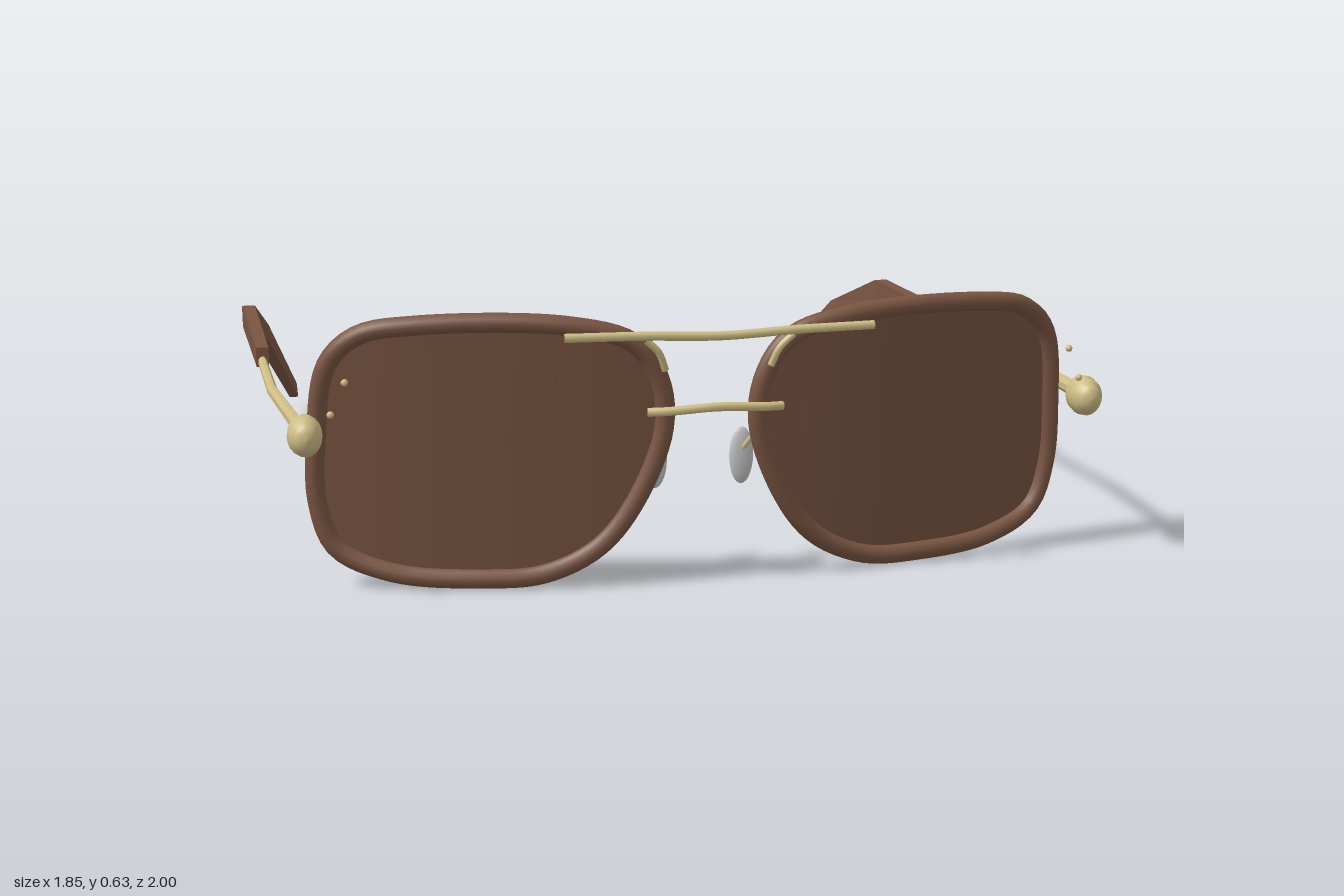
import * as THREE from 'three';

const mat = (name, color, extra = {}) => {
  const m = new THREE.MeshStandardMaterial({ color, ...extra });
  m.name = name;
  return m;
};
const V = (x, y, z) => new THREE.Vector3(x, y, z);

// Front outline of one rim (centre of the tube)
const OUTLINE = [
  [0.085, 0.37], [0.1, 0.49], [0.16, 0.575], [0.31, 0.62], [0.655, 0.623], [0.78, 0.597],
  [0.847, 0.525], [0.872, 0.34], [0.87, 0.19], [0.83, 0.08], [0.705, 0.022], [0.505, 0.008],
  [0.36, 0.018], [0.235, 0.08], [0.15, 0.19],
].map(([x, y]) => [0.48 + (x - 0.48) * 0.947, 0.315 + (y - 0.315) * 0.935]);

// Wrapped and tilted surface that the rim and lens follow
const lensZ = (x, y) => 0.907 - 0.26 * (x - 0.1) ** 2 + 0.075 * (y - 0.31);

const rimCurve = (s) => new THREE.CatmullRomCurve3(
  OUTLINE.map(([x, y]) => V(s * x, y, lensZ(x, y))), true);

const tube = (points, radius, segments = 16) => new THREE.TubeGeometry(
  new THREE.CatmullRomCurve3(points.map((p) => V(...p))), segments, radius, 8);

// Disc of rings on the lens surface, reaching the rim centre line
function lensGeometry(s) {
  const edge = rimCurve(s).getPoints(64).slice(0, 64);
  const rings = 8, n = edge.length, pos = [], idx = [];
  for (let r = 0; r <= rings; r++) {
    for (const p of edge) {
      const x = 0.48 + (Math.abs(p.x) - 0.48) * r / rings;
      const y = 0.315 + (p.y - 0.315) * r / rings;
      pos.push(s * x, y, lensZ(x, y));
    }
  }
  for (let r = 0; r < rings; r++) {
    for (let i = 0; i < n; i++) {
      const a = r * n + i, b = r * n + (i + 1) % n;
      if (s > 0) idx.push(a, b, a + n, b, b + n, a + n);
      else idx.push(a, a + n, b, b, a + n, b + n);
    }
  }
  // The outline runs clockwise from the front, so flip to face +z
  for (let i = 0; i < idx.length; i += 3) [idx[i + 1], idx[i + 2]] = [idx[i + 2], idx[i + 1]];
  const g = new THREE.BufferGeometry();
  g.setAttribute('position', new THREE.Float32BufferAttribute(pos, 3));
  g.setIndex(idx);
  g.computeVertexNormals();
  if (g.attributes.normal.getZ(n * 4) < 0) {
    g.setIndex(idx.reverse());
    g.computeVertexNormals();
  }
  return g;
}

// Loft front to back; each section is [x, half width, top y, top z, bottom y, bottom z]
function loft(sections, sides, s) {
  const pos = [], idx = [];
  const k = sides === 4 ? Math.SQRT2 : 1;
  for (const [x, hx, ty, tz, by, bz] of sections) {
    for (let i = 0; i < sides; i++) {
      const a = (i + 0.5) / sides * Math.PI * 2;
      const u = Math.sin(a) * k / 2;
      pos.push(s * x + Math.cos(a) * k * hx, (ty + by) / 2 + u * (ty - by), (tz + bz) / 2 + u * (tz - bz));
    }
  }
  const last = (sections.length - 1) * sides;
  for (let r = 0; r < last; r += sides) {
    for (let i = 0; i < sides; i++) {
      const a = r + i, b = r + (i + 1) % sides;
      idx.push(a, a + sides, b, b, a + sides, b + sides);
    }
  }
  for (let i = 1; i < sides - 1; i++) idx.push(0, i, i + 1, last, last + i + 1, last + i);
  const g = new THREE.BufferGeometry();
  g.setAttribute('position', new THREE.Float32BufferAttribute(pos, 3));
  g.setIndex(idx);
  const flat = g.toNonIndexed();
  flat.computeVertexNormals();
  return flat;
}

// Ridged knob turned around the z axis
function knobGeometry() {
  const profile = [[0, -0.06], [0.022, -0.055], [0.03, -0.042], [0.027, -0.036], [0.038, -0.024], [0.033, -0.016],
    [0.041, -0.002], [0.035, 0.008], [0.038, 0.02], [0.029, 0.028], [0.027, 0.04], [0.014, 0.048], [0, 0.05]];
  const g = new THREE.LatheGeometry(profile.map(([r, y]) => new THREE.Vector2(r, y)), 20);
  return g.rotateX(Math.PI / 2).scale(0.93, 1.12, 1);
}

export function createModel() {
  const brown = mat('brownAcetate', 0x7a5542);
  const lensBrown = mat('brownLens', 0x775340, { side: THREE.DoubleSide });
  const gold = mat('goldMetal', 0xcfbe86);
  const grey = mat('padGrey', 0xc6c6c6);
  const model = new THREE.Group();
  model.name = 'sunglasses';
  const add = (parent, name, geometry, material, position) => {
    const mesh = new THREE.Mesh(geometry, material);
    mesh.name = name;
    if (position) mesh.position.set(...position);
    parent.add(mesh);
    return mesh;
  };

  for (const s of [1, -1]) {
    const side = new THREE.Group();
    side.name = s > 0 ? 'leftSide' : 'rightSide';
    model.add(side);

    // Rim and lens
    add(side, 'rim', new THREE.TubeGeometry(rimCurve(s), 96, 0.022, 12, true), brown);
    add(side, 'lens', lensGeometry(s), lensBrown);

    // Hinge knob and small rivets
    add(side, 'hingeKnob', knobGeometry(), gold, [s * 0.887, 0.38, 0.88]);
    for (const [x, y, z] of [[0.81, 0.51, 0.965], [0.84, 0.44, 0.955]]) {
      add(side, 'rivet', new THREE.SphereGeometry(0.008, 8, 6), gold, [s * x, y, z]);
    }

    // Temple arm and its sleeve
    add(side, 'templeArm', loft([
      [0.887, 0.015, 0.4, 0.87, 0.362, 0.87],
      [0.91, 0.012, 0.391, 0.4, 0.36, 0.4],
      [0.897, 0.011, 0.378, 0, 0.35, 0],
    ], 8, s), gold);
    add(side, 'templeSleeve', loft([
      [0.897, 0.015, 0.4, 0.015, 0.352, 0.015],
      [0.882, 0.017, 0.4, -0.555, 0.346, -0.54],
      [0.827, 0.017, 0.302, -0.785, 0.257, -0.74],
      [0.727, 0.012, 0.085, -1, 0.053, -0.97],
    ], 4, s), brown);

    // Nose pad with its wire
    const pad = add(side, 'nosePad', new THREE.SphereGeometry(1, 20, 14), grey, [s * 0.1, 0.265, 0.8]);
    pad.scale.set(0.028, 0.066, 0.012);
    add(side, 'padWire', tube([[s * 0.1, 0.28, 0.805], [s * 0.122, 0.32, 0.83],
      [s * 0.138, 0.35, 0.86], [s * 0.14, 0.36, 0.89]], 0.006), gold);

    // Short strut under the top bar
    add(side, 'strut', tube([[s * 0.165, 0.575, 0.98], [s * 0.135, 0.545, 0.977], [s * 0.118, 0.505, 0.968]], 0.008), gold);
  }

  // Top bar and lower bridge
  add(model, 'topBar', tube([[-0.345, 0.588, 0.986], [-0.17, 0.585, 0.986], [0, 0.578, 0.984],
    [0.17, 0.585, 0.986], [0.345, 0.588, 0.986]], 0.01, 24), gold);
  add(model, 'bridge', tube([[-0.152, 0.408, 0.945], [-0.11, 0.41, 0.955], [0, 0.417, 0.965],
    [0.11, 0.41, 0.955], [0.152, 0.408, 0.945]], 0.01, 24), gold);
  return model;
}
